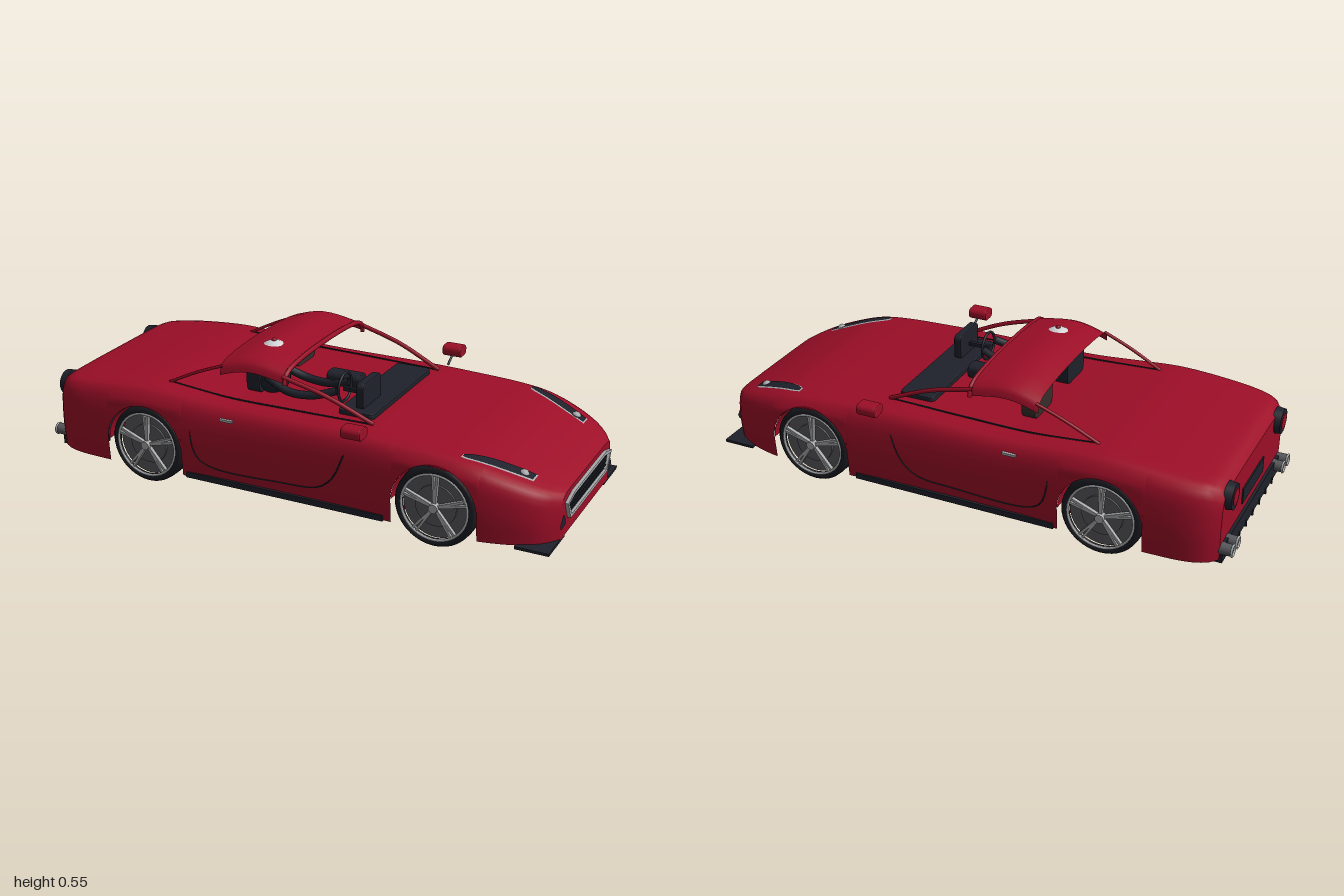
import * as THREE from 'three';

const mat = (name, color, side = THREE.FrontSide) => {
  const m = new THREE.MeshStandardMaterial({ color, side });
  m.name = name;
  return m;
};

// Smooth interpolation through [x, value] pairs
function curve(pts) {
  const slope = i => {
    const a = pts[Math.max(i - 1, 0)], b = pts[Math.min(i + 1, pts.length - 1)];
    return (b[1] - a[1]) / (b[0] - a[0]);
  };
  return x => {
    let i = 0;
    while (i < pts.length - 2 && x > pts[i + 1][0]) i++;
    const [x0, y0] = pts[i], [x1, y1] = pts[i + 1], h = x1 - x0;
    const t = Math.min(1, Math.max(0, (x - x0) / h)), t2 = t * t, t3 = t2 * t;
    return (2 * t3 - 3 * t2 + 1) * y0 + (t3 - 2 * t2 + t) * h * slope(i) +
      (3 * t2 - 2 * t3) * y1 + (t3 - t2) * h * slope(i + 1);
  };
}

const FLOOR = 0.06, ARCH = 0.155, AXLE_Y = 0.148, AXLES = [-0.55, 0.585], BACK = -0.955, NOSE = 0.985;
const halfWidth = curve([[-0.96, 0.34], [-0.93, 0.375], [-0.88, 0.4], [-0.8, 0.412], [-0.55, 0.414], [-0.2, 0.402],
  [0.2, 0.402], [0.55, 0.411], [0.72, 0.41], [0.82, 0.39], [0.9, 0.358], [0.95, 0.32], [0.985, 0.27]]);
const height = curve([[-0.96, 0.305], [-0.93, 0.335], [-0.88, 0.347], [-0.7, 0.367], [-0.55, 0.375], [-0.4, 0.367],
  [-0.2, 0.355], [0.25, 0.354], [0.45, 0.346], [0.6, 0.337], [0.72, 0.32], [0.85, 0.28], [0.95, 0.24], [0.985, 0.222]]);
const sideZ = curve([[0, 0.975], [0.4, 1], [0.7, 0.993], [0.85, 0.975], [1, 0.86]]);
const deck = [[0.975, 0.85], [0.945, 0.93], [0.9, 0.967], [0.84, 0.985], [0.7, 0.995], [0.35, 1], [0, 1]];

// Points on the body skin
const skinZ = (x, y) => halfWidth(x) * sideZ((y - FLOOR) / (height(x) - FLOOR));
function skinY(x, z) {
  const f = Math.abs(z) / halfWidth(x);
  let i = 0;
  while (i < deck.length - 2 && f < deck[i + 1][0]) i++;
  const t = (deck[i][0] - f) / (deck[i][0] - deck[i + 1][0]);
  return FLOOR + (deck[i][1] + t * (deck[i + 1][1] - deck[i][1])) * (height(x) - FLOOR);
}

function buffer(pos, idx) {
  const g = new THREE.BufferGeometry();
  g.setAttribute('position', new THREE.Float32BufferAttribute(pos, 3));
  g.setIndex(idx);
  g.computeVertexNormals();
  return g;
}

// Skin of rows x columns, where at(i, j) gives a point
function skin(rows, cols, at) {
  const pos = [], idx = [];
  for (let i = 0; i < rows; i++) for (let j = 0; j < cols; j++) {
    pos.push(...at(i, j));
    if (i < rows - 1 && j < cols - 1) {
      const a = i * cols + j, b = a + cols;
      idx.push(a, b, a + 1, b, b + 1, a + 1);
    }
  }
  return buffer(pos, idx);
}

// Cross-section columns: [x, lower edge of the side]
function columns() {
  const list = [];
  for (let i = 0; i <= 80; i++) {
    const x = BACK + (NOSE - BACK) * i / 80;
    if (AXLES.every(a => Math.abs(x - a) > ARCH + 0.003)) list.push([x, FLOOR]);
  }
  for (const a of AXLES) for (let k = 0; k <= 24; k++) {
    const t = Math.PI * (1 - k / 24), x = a + ARCH * Math.cos(t);
    if (k === 0) list.push([x - 1e-5, FLOOR]);
    list.push([x, AXLE_Y + ARCH * Math.sin(t)]);
    if (k === 24) list.push([x + 1e-5, FLOOR]);
  }
  return list.sort((p, q) => p[0] - q[0]);
}

function section([x, low]) {
  const W = halfWidth(x), H = height(x) - FLOOR, top = FLOOR + 0.85 * H, half = [];
  for (let k = 0; k < 8; k++) {
    const y = low + (top - low) * k / 8;
    half.push([x, y, skinZ(x, y)]);
  }
  for (const [f, h] of deck) half.push([x, FLOOR + h * H, W * f]);
  return [...half, ...half.slice(0, -1).reverse().map(([a, b, c]) => [a, b, -c])];
}

export function createModel() {
  const car = new THREE.Group();
  car.name = 'roadster';
  const red = mat('body red', 0x9c0e27), redThin = mat('sheet red', 0x9c0e27, THREE.DoubleSide);
  const black = mat('trim black', 0x1f212b, THREE.DoubleSide), rubber = mat('tyre black', 0x191a20);
  const silver = mat('silver', 0xa9aaac, THREE.DoubleSide), grey = mat('rim grey', 0x58595c);
  const brown = mat('seat brown', 0x352d2b), white = mat('helmet white', 0xd2d2d4);

  const add = (name, geo, m, x = 0, y = 0, z = 0, parent = car) => {
    const o = new THREE.Mesh(geo, m);
    o.name = name;
    o.position.set(x, y, z);
    parent.add(o);
    return o;
  };
  const box = (name, m, w, h, d, x, y, z) => add(name, new THREE.BoxGeometry(w, h, d), m, x, y, z);
  const tube = (name, m, pts, r, parent = car) => add(name, new THREE.TubeGeometry(
    new THREE.CatmullRomCurve3(pts.map(p => new THREE.Vector3(...p))), 32, r, 6), m, 0, 0, 0, parent);
  const soft = (w, h, d, r = 0.015) => {
    const s = new THREE.Shape(), a = w / 2 - r, b = h / 2 - r;
    s.absarc(a, b, r, 0, Math.PI / 2).absarc(-a, b, r, Math.PI / 2, Math.PI);
    s.absarc(-a, -b, r, Math.PI, 1.5 * Math.PI).absarc(a, -b, r, 1.5 * Math.PI, 2 * Math.PI);
    return new THREE.ExtrudeGeometry(s, { depth: d - 0.012, bevelSize: 0.004, bevelThickness: 0.006, bevelSegments: 2, curveSegments: 5 })
      .translate(0, 0, 0.006 - d / 2).rotateY(Math.PI / 2);
  };

  // Body shell with cut wheel arches, end caps and floor
  const cols = columns(), rings = cols.map(section), n = rings[0].length;
  add('bodyShell', skin(rings.length, n, (i, j) => rings[i][j]), red);
  for (const [name, ring, front] of [['rearPanel', rings[0], false], ['nosePanel', rings[rings.length - 1], true]]) {
    const pos = [ring[0][0], 0.15, 0, ...ring.flat()], idx = [];
    for (let j = 1; j <= n; j++) {
      const k = j === n ? 1 : j + 1;
      idx.push(0, front ? k : j, front ? j : k);
    }
    add(name, buffer(pos, idx), red);
  }
  add('floor', skin(cols.length, 2, (i, j) => {
    const [x, low] = cols[i];
    return [x, FLOOR, (j ? 1 : -1) * (low > FLOOR ? 0.285 : skinZ(x, FLOOR))];
  }), red);

  // Wheels and wheel wells
  const tyre = new THREE.LatheGeometry([[0.118, -0.045], [0.138, -0.045], [0.146, -0.036], [0.148, -0.015], [0.148, 0.015],
    [0.146, 0.036], [0.138, 0.045], [0.122, 0.045], [0.118, 0.03]].map(p => new THREE.Vector2(...p)), 40).rotateX(Math.PI / 2);
  for (const x of AXLES) for (const s of [1, -1]) {
    const wheel = new THREE.Group();
    wheel.name = (x > 0 ? 'front' : 'rear') + 'Wheel';
    wheel.position.set(x, AXLE_Y, s * 0.352);
    if (s < 0) wheel.rotation.y = Math.PI;
    car.add(wheel);
    const disc = (r, d) => new THREE.CylinderGeometry(r, r, d, 36).rotateX(Math.PI / 2);
    add('tyre', tyre, rubber, 0, 0, 0, wheel);
    add('wheelBack', disc(0.12, 0.06), grey, 0, 0, -0.008, wheel);
    add('brakeDisc', disc(0.075, 0.008), grey, 0, 0, 0.026, wheel);
    add('rimLip', new THREE.TorusGeometry(0.12, 0.005, 8, 40), silver, 0, 0, 0.043, wheel);
    for (let k = 0; k < 5; k++) for (const e of [-1, 1]) {
      const a = k * Math.PI * 0.4 + Math.PI / 2 + e * 0.07;
      const spoke = add('spoke', new THREE.BoxGeometry(0.105, 0.009, 0.014), silver,
        0.066 * Math.cos(a), 0.066 * Math.sin(a), 0.038, wheel);
      spoke.rotation.z = a;
    }
    add('hub', disc(0.016, 0.03), silver, 0, 0, 0.042, wheel);
    add('wheelWell', new THREE.CylinderGeometry(ARCH, ARCH, 0.12, 28, 1, true, Math.PI / 2, Math.PI).rotateX(Math.PI / 2),
      redThin, x, AXLE_Y, s * 0.345);
    add('wellWall', new THREE.CircleGeometry(ARCH, 28, 0, Math.PI), redThin, x, AXLE_Y, s * 0.287);
    box('wellLowerWall', red, 2 * ARCH, AXLE_Y - FLOOR, 0.004, x, (AXLE_Y + FLOOR) / 2, s * 0.285);
  }

  // Roof panel
  const arc = [[0.312, -0.065], [0.308, -0.045], [0.298, -0.03], [0.27, -0.017], [0.2, -0.007], [0.1, -0.001], [0, 0]];
  const roofLine = [...arc, ...arc.slice(0, -1).reverse().map(([z, y]) => [-z, y])];
  const roofTop = curve([[-0.28, 0.505], [-0.2, 0.529], [-0.13, 0.533], [-0.02, 0.515]]);
  add('roof', skin(10, roofLine.length, (i, j) => {
    const x = -0.28 + 0.26 * i / 9;
    return [x, roofTop(x) + roofLine[j][1], roofLine[j][0]];
  }), redThin);
  tube('windscreenHeader', red, roofLine.map(([z, y]) => [-0.02, 0.511 + y, z]), 0.009);

  for (const s of [1, -1]) {
    // Roof pillars
    tube('frontPillar', red, [[-0.03, 0.475, s * 0.308], [0.14, 0.428, s * 0.3], [0.31, 0.354, s * 0.287]], 0.008);
    tube('rearPillar', red, [[-0.27, 0.475, s * 0.308], [-0.38, 0.43, s * 0.304], [-0.5, 0.37, s * 0.298]], 0.006);
    tube('cockpitSeam', black, [[-0.5, 0.372, s * 0.297], [-0.25, 0.357, s * 0.305], [0, 0.355, s * 0.3], [0.3, 0.353, s * 0.288]], 0.003);
    // Door seam, handle and sill
    tube('doorSeam', black, [[-0.355, 0.33], [-0.355, 0.22], [-0.33, 0.145], [-0.27, 0.115], [0, 0.115], [0.15, 0.13],
      [0.21, 0.18], [0.25, 0.27], [0.275, 0.335]].map(([x, y]) => [x, y, s * skinZ(x, y)]), 0.0025);
    box('doorHandle', silver, 0.05, 0.009, 0.012, -0.21, 0.308, s * (skinZ(-0.21, 0.308) + 0.002));
    box('sill', black, 0.78, 0.022, 0.03, 0.01, 0.068, s * 0.388);
    // Mirror
    add('mirror', soft(0.055, 0.034, 0.075, 0.014), red, 0.308, 0.384, s * 0.438);
    tube('mirrorStalk', black, [[0.31, 0.345, s * 0.375], [0.31, 0.362, s * 0.4], [0.31, 0.374, s * 0.425]], 0.005);
    // Headlight laid on the bonnet
    const lamp = (name, m, grow, lift) => add(name, skin(13, 5, (i, j) => {
      const t = i / 12, x = 0.66 - grow + (0.225 + 2 * grow) * t;
      const w = grow + 0.008 + 0.017 * Math.sqrt(Math.max(0, t * (1.25 - t)) * 2);
      const z = 0.335 - 0.07 * t + w * (j / 2 - 1);
      return [x, skinY(x, z) + lift, s * z];
    }), m);
    lamp('headlightTrim', silver, 0.004, 0.002);
    lamp('headlight', black, 0, 0.005);
    add('headlightLens', new THREE.SphereGeometry(0.018, 16, 10), silver, 0.85, skinY(0.85, 0.272) - 0.003, s * 0.272);
    // Nose vents and splitter corners
    const vent = new THREE.Shape([[0.225, 0.105], [0.275, 0.1], [0.285, 0.12], [0.26, 0.15], [0.24, 0.14]].map(p => new THREE.Vector2(...p)));
    const v = add('noseVent', new THREE.ShapeGeometry(vent).rotateY(-Math.PI / 2), black, 0.988, 0, 0);
    v.scale.z = s;
    box('splitter', black, 0.12, 0.01, 0.16, 0.925, 0.058, s * 0.3);
    // Tail lamps and exhausts
    add('tailLamp', new THREE.CylinderGeometry(0.046, 0.05, 0.03, 28).rotateZ(Math.PI / 2), black, -0.962, 0.28, s * 0.28);
    add('tailLampGlass', new THREE.CylinderGeometry(0.03, 0.03, 0.004, 24).rotateZ(Math.PI / 2), red, -0.978, 0.28, s * 0.28);
    for (const z of [0.27, 0.325]) {
      add('exhaust', new THREE.CylinderGeometry(0.021, 0.021, 0.06, 20, 1, true).rotateZ(Math.PI / 2), grey, -0.968, 0.1, s * z);
      add('exhaustTip', new THREE.TorusGeometry(0.02, 0.004, 8, 20).rotateY(Math.PI / 2), silver, -0.996, 0.1, s * z);
      add('exhaustBore', new THREE.CircleGeometry(0.02, 20).rotateY(-Math.PI / 2), black, -0.992, 0.1, s * z);
    }
  }

  // Grille with frame and bars
  const hex = [[-0.175, 0.205], [0.175, 0.205], [0.243, 0.187], [0.205, 0.118], [-0.205, 0.118], [-0.243, 0.187]];
  const outline = k => hex.map(([z, y]) => new THREE.Vector2(z * (1 - k * 0.055), 0.162 + (y - 0.162) * (1 - k * 0.26)));
  const frame = new THREE.Shape(outline(0));
  frame.holes.push(new THREE.Path(outline(1)));
  add('grilleFrame', new THREE.ExtrudeGeometry(frame, { depth: 0.012, bevelEnabled: false }).rotateY(Math.PI / 2), silver, 0.986);
  add('grille', new THREE.ShapeGeometry(new THREE.Shape(outline(0))).rotateY(Math.PI / 2), black, 0.988);
  for (const y of [0.145, 0.162, 0.18]) box('grilleBar', rubber, 0.006, 0.004, 0.4, 0.99, y, 0);

  // Rear valence, fins and plate recess
  box('valence', black, 0.13, 0.04, 0.68, -0.9, 0.07, 0);
  box('rearBumper', black, 0.012, 0.055, 0.64, -0.96, 0.09, 0);
  for (let k = -3; k <= 3; k++) box('diffuserFin', black, 0.14, 0.025, 0.006, -0.9, 0.055, k * 0.078);
  box('plateRecess', black, 0.008, 0.06, 0.24, -0.956, 0.185, 0);

  // Dashboard, instruments, console and steering wheel
  const dash = add('dashboard', soft(0.5, 0.13, 0.025), black, 0.223, 0.357, 0);
  dash.rotation.z = Math.PI / 2;
  add('instrumentHood', soft(0.14, 0.09, 0.03), black, 0.222, 0.41, 0.143);
  add('console', soft(0.06, 0.045, 0.13), black, 0.065, 0.378, 0);
  for (const x of [0.03, 0.06, 0.09]) box('consoleButton', grey, 0.018, 0.004, 0.03, x, 0.402, 0);
  add('steeringWheel', new THREE.TorusGeometry(0.052, 0.005, 8, 28).rotateY(Math.PI / 2), black, 0.13, 0.408, 0.143);
  box('steeringColumn', black, 0.09, 0.014, 0.014, 0.17, 0.402, 0.143);

  // Seats
  for (const [m, z, back] of [[brown, -0.143, 'passengerSeat'], [black, 0.143, 'driverSeat']]) {
    add(back, soft(0.145, 0.1, 0.055, 0.025), m, -0.2, 0.405, z);
    add('headrest', soft(0.095, 0.034, 0.04), m, -0.21, 0.467, z);
  }

  // Driver
  add('torso', new THREE.SphereGeometry(0.07, 20, 14).scale(0.8, 0.85, 1), black, -0.15, 0.4, 0.148);
  for (const e of [-1, 1]) tube('arm', black, [[-0.15, 0.42, 0.148 + e * 0.06], [-0.05, 0.385, 0.148 + e * 0.075],
    [0.04, 0.385, 0.148 + e * 0.065], [0.125, 0.41, 0.145 + e * 0.05]], 0.015);
  add('helmet', new THREE.SphereGeometry(0.062, 28, 20).scale(1, 1.05, 1), white, -0.15, 0.474, 0.148);
  add('visor', new THREE.SphereGeometry(0.064, 20, 10, Math.PI * 0.62, Math.PI * 0.76, 1.1, 0.75), black, -0.15, 0.474, 0.148);
  add('helmetButton', new THREE.SphereGeometry(0.009, 12, 8), red, -0.15, 0.539, 0.148);
  return car;
}
